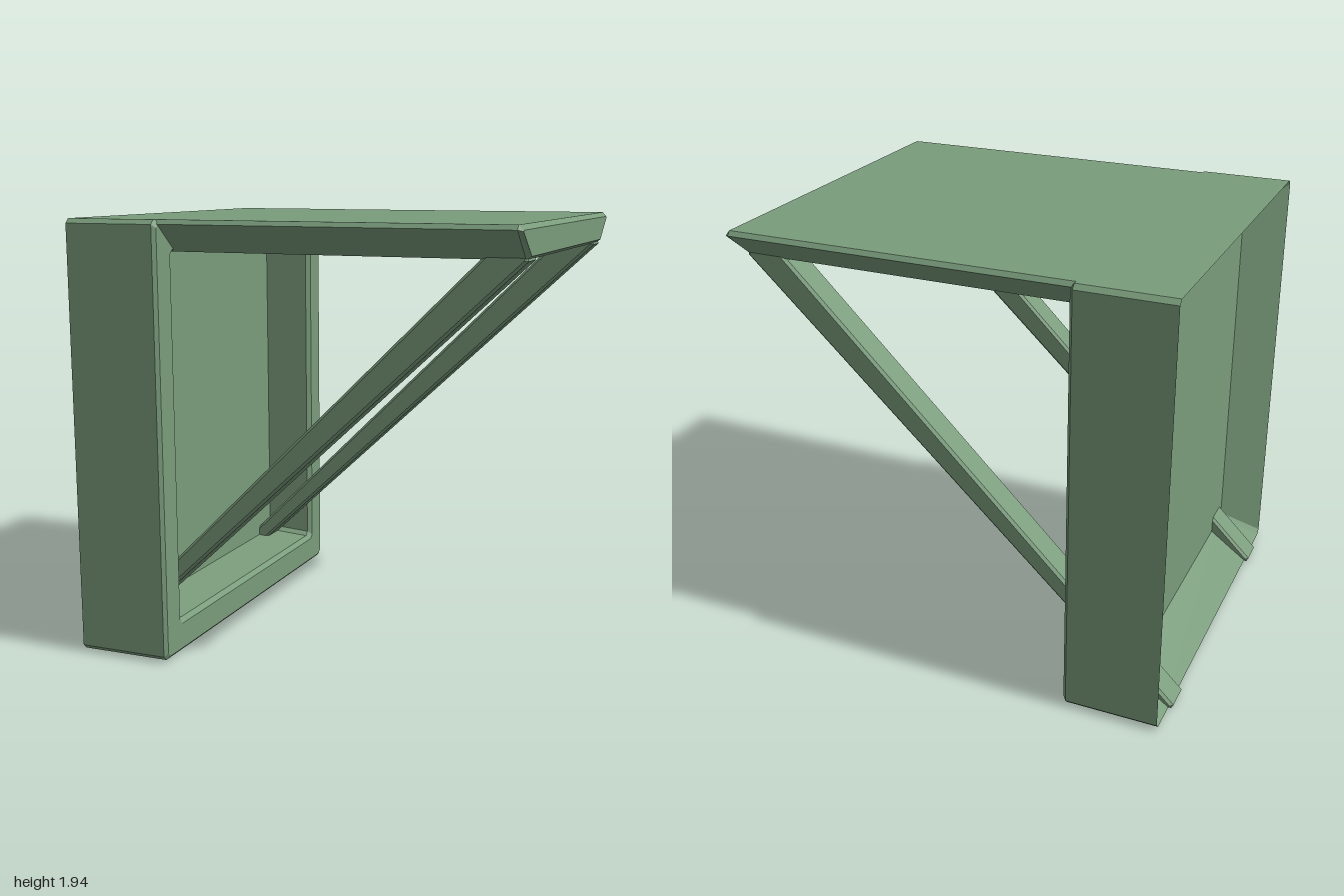
import * as THREE from 'three';

const material = new THREE.MeshStandardMaterial({ color: 0x7a9c7c, flatShading: true });

// Flat-faced solid through equal-sized rings of points, capped at both ends
function loft(rings) {
  const pos = [];
  const tri = (...pts) => pts.forEach((p) => pos.push(...p));
  const n = rings[0].length;
  for (let r = 0; r + 1 < rings.length; r++) {
    const [A, B] = [rings[r], rings[r + 1]];
    for (let i = 0; i < n; i++) {
      const j = (i + 1) % n;
      tri(A[i], A[j], B[j]);
      tri(A[i], B[j], B[i]);
    }
  }
  const first = rings[0], last = rings[rings.length - 1];
  for (let i = 1; i + 1 < n; i++) {
    tri(first[0], first[i + 1], first[i]);
    tri(last[0], last[i], last[i + 1]);
  }
  const g = new THREE.BufferGeometry();
  g.setAttribute('position', new THREE.Float32BufferAttribute(pos, 3));
  g.computeVertexNormals();
  return g;
}

// Rectangle with cut corners, standing at x
function rectRing(x, w, y0, y1, c = 0.02) {
  return [
    [-w, y0 + c], [-w, y1 - c], [-w + c, y1], [w - c, y1],
    [w, y1 - c], [w, y0 + c], [w - c, y0], [-w + c, y0],
  ].map(([z, y]) => [x, y, z]);
}

// Canopy section: narrow underside, flared sides, chamfered top edge
function canopyRing(x, wBottom, yBottom, wSide, ySide, wTop, yTop) {
  return [
    [-wBottom, yBottom], [-wSide, ySide], [-wTop, yTop],
    [wTop, yTop], [wSide, ySide], [wBottom, yBottom],
  ].map(([z, y]) => [x, y, z]);
}

export function createModel() {
  const group = new THREE.Group();
  const add = (name, geometry) => {
    const mesh = new THREE.Mesh(geometry, material);
    mesh.name = name;
    group.add(mesh);
    return mesh;
  };

  // Upright frame, hollowed from both sides around a thin wall
  add('frame', loft([
    rectRing(-0.80, 0.74, 0.14, 1.80),
    rectRing(-0.98, 0.87, 0.01, 1.94),
    rectRing(-0.565, 0.87, 0.01, 1.94),
    rectRing(-0.55, 0.855, 0.025, 1.925),
    rectRing(-0.55, 0.745, 0.14, 1.81),
    rectRing(-0.57, 0.725, 0.16, 1.80),
    rectRing(-0.79, 0.71, 0.18, 1.78),
  ]));

  // Canopy reaching out from the top of the frame
  add('canopy', loft([
    canopyRing(-0.57, 0.70, 1.80, 0.845, 1.92, 0.83, 1.94),
    canopyRing(0.98, 0.70, 1.80, 0.845, 1.92, 0.83, 1.94),
    canopyRing(1.0, 0.69, 1.815, 0.83, 1.915, 0.82, 1.92),
  ]));

  // Diagonal struts, tapering down through the frame to its back edge
  const profile = new THREE.Shape([
    [-1, 0.02], [-0.99, 0], [-0.925, 0], [0.99, 1.795], [0.98, 1.83], [0.83, 1.83],
  ].map(([x, y]) => new THREE.Vector2(x, y)));
  const bevel = 0.012;
  const strut = new THREE.ExtrudeGeometry(profile, {
    depth: 0.14 - 2 * bevel,
    bevelThickness: bevel, bevelSize: bevel, bevelOffset: -bevel, bevelSegments: 1,
  });
  strut.translate(0, 0, -0.07 + bevel);
  for (const [name, z] of [['leftStrut', 0.64], ['rightStrut', -0.64]]) {
    add(name, strut).position.z = z;
  }

  return group;
}
